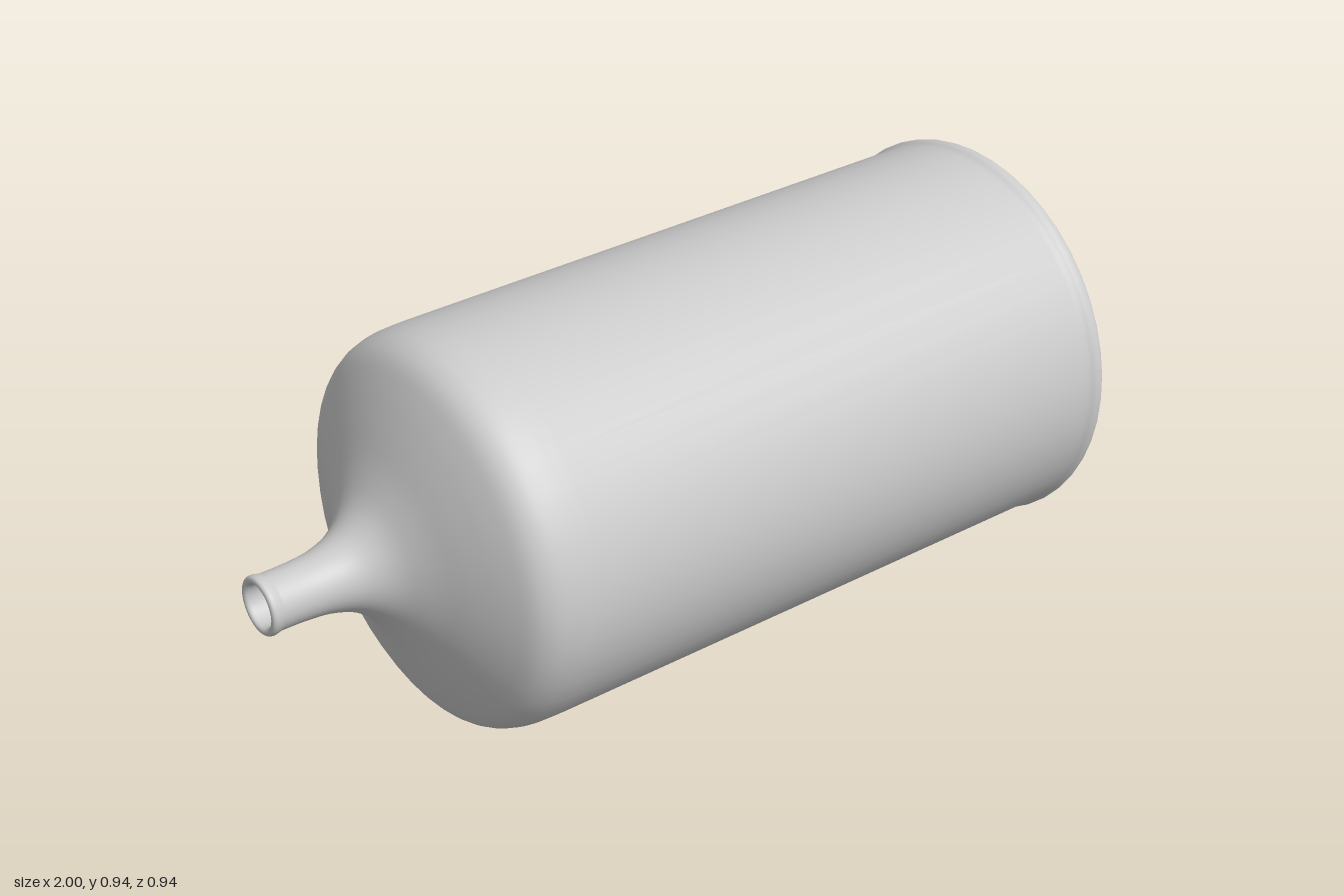
import * as THREE from 'three';

const SEGMENTS = 48;
const AXIS_HEIGHT = 0.469;

// Smooth run through [radius, position along the axis] pairs
function smoothRun(pairs, steps) {
  const pts = pairs.map(([r, a]) => new THREE.Vector3(r, a, 0));
  return new THREE.CatmullRomCurve3(pts, false, 'centripetal')
    .getPoints(steps)
    .map((p) => new THREE.Vector2(Math.max(p.x, 0), p.y));
}

// Revolve a profile and lay its axis along x
function turned(name, profile, material) {
  const geometry = new THREE.LatheGeometry(profile, SEGMENTS);
  geometry.rotateZ(-Math.PI / 2);
  const mesh = new THREE.Mesh(geometry, material);
  mesh.name = name;
  return mesh;
}

export function createModel() {
  const group = new THREE.Group();
  group.name = 'bottle';
  const material = new THREE.MeshStandardMaterial({ color: 0xcccccc });

  // Neck, flared shoulder and rounded turn into the body
  const shoulder = [
    [0.063, -0.97], [0.064, -0.91], [0.07, -0.85], [0.09, -0.79],
    [0.132, -0.74], [0.2, -0.7], [0.295, -0.66], [0.37, -0.625],
    [0.418, -0.595], [0.442, -0.56], [0.453, -0.51], [0.455, -0.46],
  ];
  // Slightly widening wall and rounded bead around the base
  const foot = [
    [0.4605, 0.94], [0.463, 0.955], [0.468, 0.967], [0.469, 0.98],
    [0.464, 0.992], [0.45, 0.997],
  ];
  const lip = [[0.047, -0.985], [0.05, -0.996], [0.056, -1], [0.064, -0.998], [0.067, -0.99], [0.063, -0.97]];

  const outer = [
    ...smoothRun(shoulder, 44),
    ...smoothRun(foot, 16),
    new THREE.Vector2(0.42, 1),
    new THREE.Vector2(0.2, 0.998),
    new THREE.Vector2(0, 0.996),
  ];
  group.add(turned('body', outer, material));
  group.add(turned('neckLip', smoothRun(lip, 14), material));

  // Hollow inside, running from the base back out through the neck
  const wall = 0.016;
  const inner = [
    new THREE.Vector2(0, 0.97),
    new THREE.Vector2(0.44, 0.97),
    ...smoothRun(shoulder.map(([r, a]) => [r - wall, a]), 30).reverse(),
    new THREE.Vector2(0.047, -0.985),
  ];
  group.add(turned('innerWall', inner, material));

  group.position.y = AXIS_HEIGHT;
  const model = new THREE.Group();
  model.add(group);
  return model;
}
